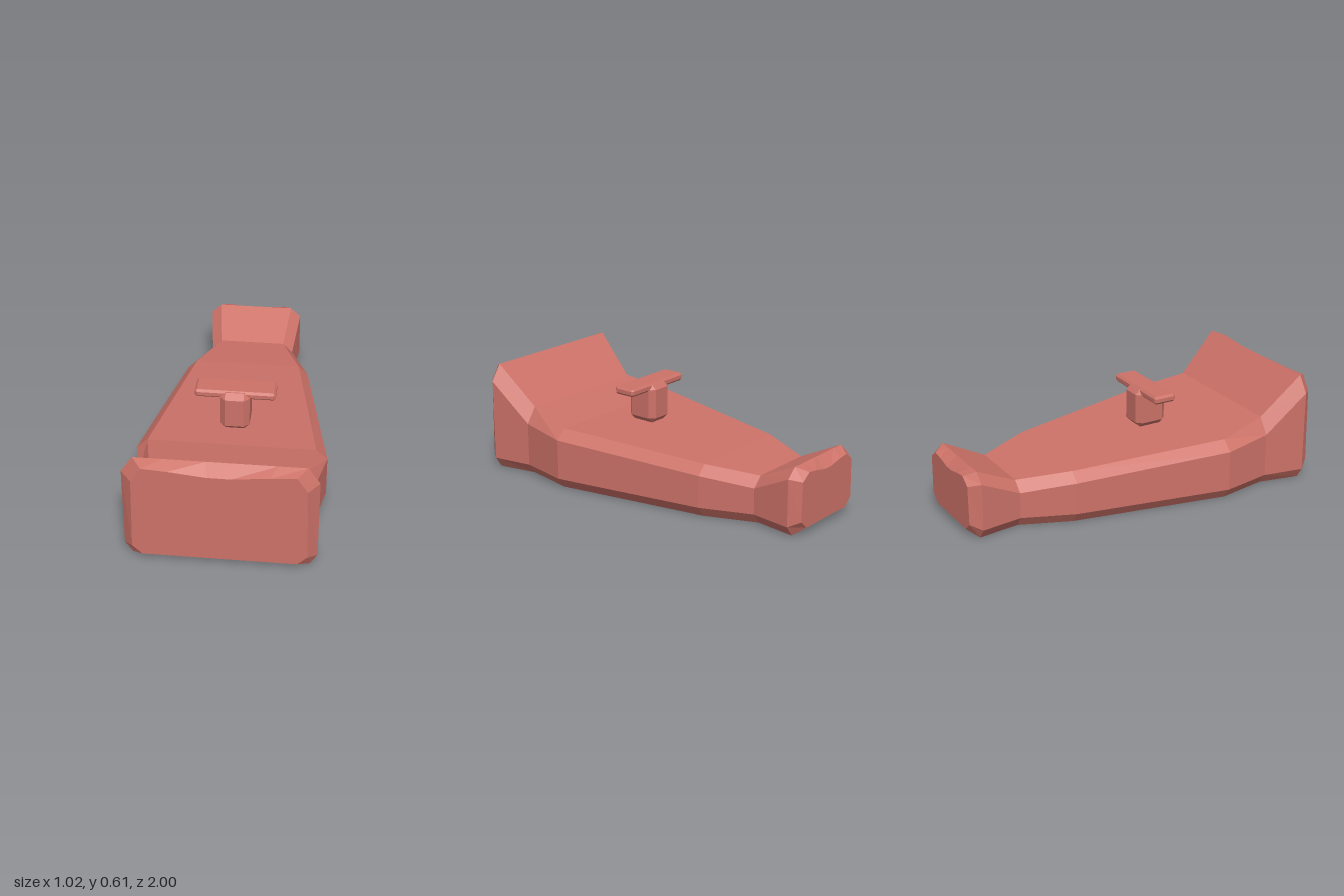
import * as THREE from 'three';
import { ConvexGeometry } from 'three/addons/geometries/ConvexGeometry.js';

const material = new THREE.MeshStandardMaterial({ color: 0xcc7268, flatShading: true });

// Cross-sections from back to front:
// z, bottom y, lower side y, upper side y, top y, half widths (bottom, lower side, upper side, top), top dip
const SECTIONS = [
  [-1.0, 0.045, 0.09, 0.305, 0.345, 0.18, 0.23, 0.225, 0.17, 0.025],
  [-0.94, 0, 0.06, 0.32, 0.372, 0.225, 0.27, 0.27, 0.213, 0],
  [-0.71, 0, 0.06, 0.205, 0.26, 0.195, 0.24, 0.24, 0.185, 0],
  [-0.43, 0, 0.06, 0.238, 0.29, 0.305, 0.35, 0.35, 0.297, 0],
  [0.43, 0, 0.06, 0.285, 0.34, 0.465, 0.51, 0.51, 0.45, 0],
  [0.71, 0, 0.06, 0.305, 0.393, 0.41, 0.455, 0.455, 0.395, 0],
  [0.94, 0, 0.06, 0.52, 0.61, 0.455, 0.495, 0.495, 0.435, 0],
  [1.0, 0.04, 0.09, 0.505, 0.587, 0.395, 0.447, 0.438, 0.385, 0.03],
];

// One bevelled ring, counter-clockwise seen from the front
function ring([z, y0, y1, y2, y3, b, s1, s2, t, dip]) {
  const half = [
    [b, y0], [s1, y1], [s2, y2], [t, y3],
    [t * 0.66, y3 - dip * 0.3], [t * 0.16, y3 - dip],
  ];
  const mirrored = half.map(([x, y]) => [-x, y]).reverse();
  return [...half, ...mirrored].map(([x, y]) => new THREE.Vector3(x, y, z));
}

// Skin the rings and close both ends with a fan
function loft(rings) {
  const points = [];
  const n = rings[0].length;
  for (let i = 0; i < rings.length - 1; i++) {
    for (let j = 0; j < n; j++) {
      const k = (j + 1) % n;
      const a = rings[i][j], b = rings[i][k], c = rings[i + 1][k], d = rings[i + 1][j];
      points.push(a, b, c, a, c, d);
    }
  }
  const cap = (r, flip) => {
    const mid = r.reduce((sum, p) => sum.add(p), new THREE.Vector3()).divideScalar(n);
    mid.y = (r[0].y + r[3].y) / 2;
    for (let j = 0; j < n; j++) {
      const k = (j + 1) % n;
      if (flip) points.push(mid, r[k], r[j]);
      else points.push(mid, r[j], r[k]);
    }
  };
  cap(rings[0], true);
  cap(rings[rings.length - 1], false);
  const geometry = new THREE.BufferGeometry().setFromPoints(points);
  geometry.computeVertexNormals();
  return geometry;
}

// Box with all edges bevelled by c
function bevelledBox(w, h, d, c) {
  const points = [];
  for (const x of [-1, 1]) for (const y of [-1, 1]) for (const z of [-1, 1]) {
    const [X, Y, Z] = [w / 2, h / 2, d / 2];
    points.push(
      new THREE.Vector3(x * X, y * (Y - c), z * (Z - c)),
      new THREE.Vector3(x * (X - c), y * Y, z * (Z - c)),
      new THREE.Vector3(x * (X - c), y * (Y - c), z * Z),
    );
  }
  return new ConvexGeometry(points);
}

export function createModel() {
  const model = new THREE.Group();
  model.name = 'pedalBoat';
  const add = (name, geometry, x, y, z) => {
    const mesh = new THREE.Mesh(geometry, material);
    mesh.name = name;
    mesh.position.set(x, y, z);
    model.add(mesh);
  };

  // Tapered body with a tall front end and a raised narrow tail
  add('body', loft(SECTIONS.map(ring)), 0, 0, 0);

  // T-shaped handle standing on the deck
  add('handlePost', bevelledBox(0.16, 0.225, 0.185, 0.03), 0, 0.443, 0.2);
  add('handleBar', bevelledBox(0.435, 0.045, 0.13, 0.012), 0, 0.538, 0.197);

  model.name = 'taperedBodyWithHandle';
  return model;
}
